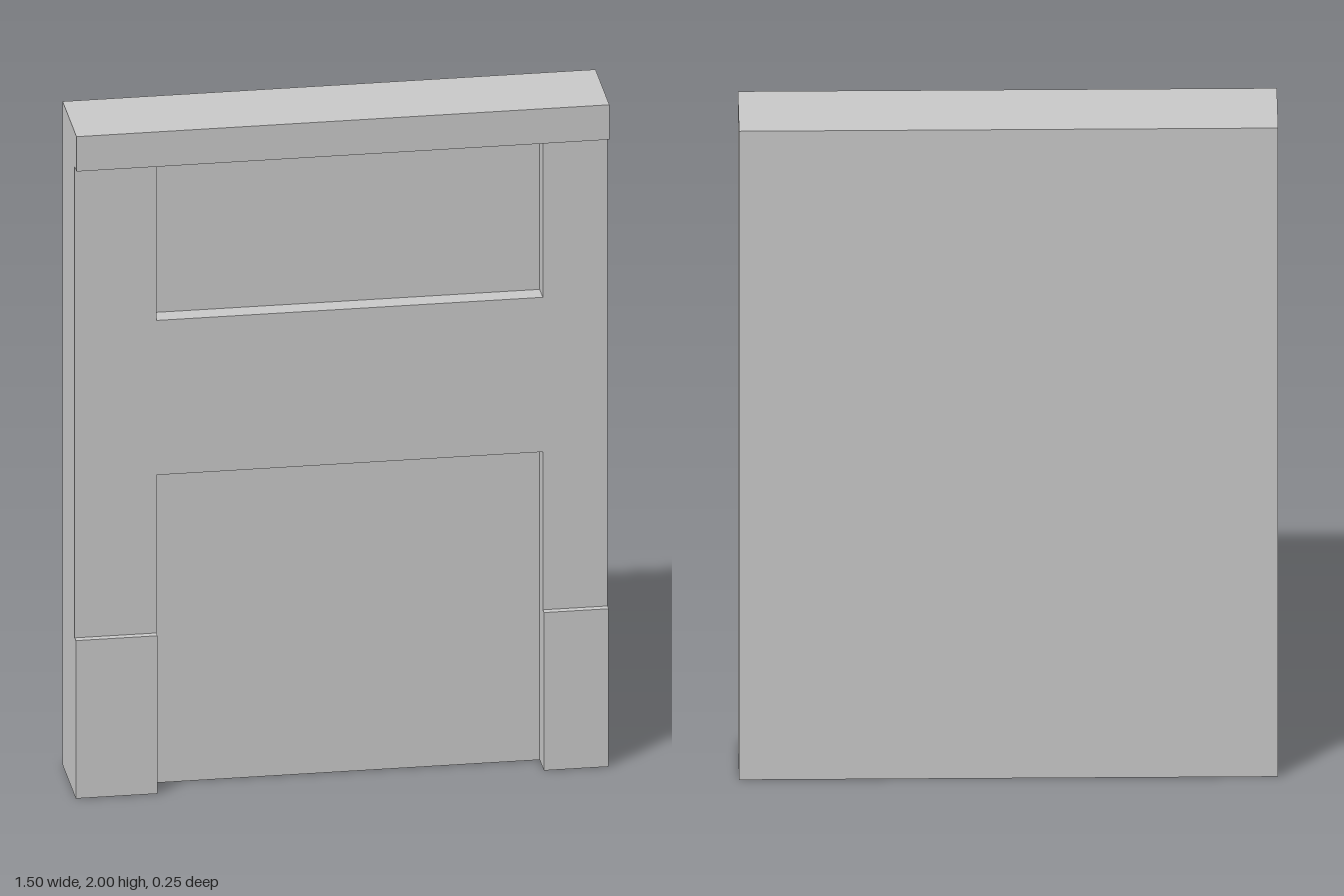
import * as THREE from 'three';

const W = 0.748;                        // half width
const BACK = -0.127, PANEL = 0.038, FRAME = 0.095, PLINTH = 0.115, CAP = 0.127; // z planes
const L = -0.519, R = 0.566;            // sides of the openings
const CAP_Y = 1.895, PLINTH_Y = 0.476, RAIL_LOW = 0.952, RAIL_HIGH = 1.418;

export function createModel() {
  const group = new THREE.Group();
  const material = new THREE.MeshStandardMaterial({ color: 0xcccccc, flatShading: true });

  const add = (name, geometry) => {
    const mesh = new THREE.Mesh(geometry, material);
    mesh.name = name;
    group.add(mesh);
  };

  // Box given by its limits on each axis
  const block = (name, x0, x1, y0, y1, z0, z1) => {
    const g = new THREE.BoxGeometry(x1 - x0, y1 - y0, z1 - z0);
    g.translate((x0 + x1) / 2, (y0 + y1) / 2, (z0 + z1) / 2);
    add(name, g);
  };

  // Back slab and full-depth cap
  block('backPanel', -W, W, 0, CAP_Y, BACK, PANEL);
  block('topCap', -W, W, CAP_Y, 2, BACK, CAP);

  // H-shaped raised frame: two uneven stiles joined by a middle rail
  const outline = [
    [-W, 0], [L, 0], [L, RAIL_LOW], [R, RAIL_LOW], [R, 0], [W, 0],
    [W, CAP_Y], [R, CAP_Y], [R, RAIL_HIGH], [L, RAIL_HIGH], [L, CAP_Y], [-W, CAP_Y],
  ];
  const shape = new THREE.Shape(outline.map(([x, y]) => new THREE.Vector2(x, y)));
  const frame = new THREE.ExtrudeGeometry(shape, { depth: FRAME - PANEL, bevelEnabled: false });
  frame.translate(0, 0, PANEL);
  add('frame', frame);

  // Plinth blocks at the foot of each stile
  block('rightPlinth', -W, L, 0, PLINTH_Y, FRAME, PLINTH);
  block('leftPlinth', R, W, 0, PLINTH_Y, FRAME, PLINTH);

  return group;
}
